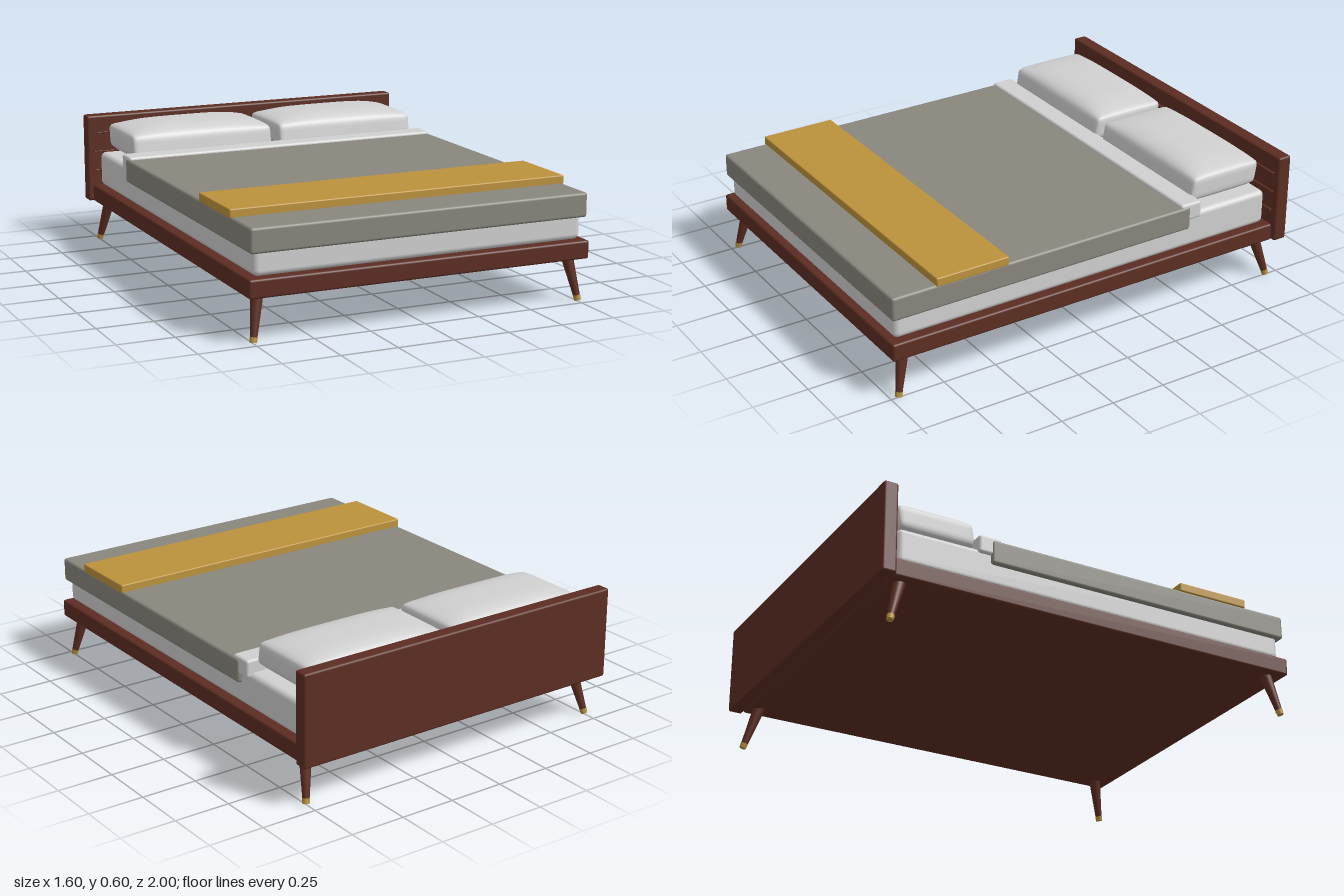
import * as THREE from 'three';
import { mergeVertices } from 'three/addons/utils/BufferGeometryUtils.js';
import { RoundedBoxGeometry } from 'three/addons/geometries/RoundedBoxGeometry.js';

const material = (name, color) => {
  const m = new THREE.MeshStandardMaterial({ color });
  m.name = name;
  return m;
};

// Rounded block given by its limits on each axis
function block(name, mat, [x0, x1], [y0, y1], [z0, z1], r) {
  const mesh = new THREE.Mesh(new RoundedBoxGeometry(x1 - x0, y1 - y0, z1 - z0, 3, r), mat);
  mesh.position.set((x0 + x1) / 2, (y0 + y1) / 2, (z0 + z1) / 2);
  mesh.name = name;
  return mesh;
}

// Soft cushion: rounded box that swells toward its middle and leans back
function pillowGeometry(w, h, d, r) {
  const geo = new THREE.BoxGeometry(2, 2, 2, 28, 10, 20);
  const p = geo.attributes.position;
  const half = new THREE.Vector3(w / 2, h / 2, d / 2);
  const inner = half.clone().subScalar(r);
  const v = new THREE.Vector3(), core = new THREE.Vector3();
  const crowd = (t) => Math.sign(t) * (1 - Math.pow(1 - Math.abs(t), 1.7));
  for (let i = 0; i < p.count; i++) {
    v.set(crowd(p.getX(i)), crowd(p.getY(i)), crowd(p.getZ(i))).multiply(half);
    core.copy(v).clamp(inner.clone().negate(), inner);
    v.sub(core).normalize().multiplyScalar(r).add(core);
    const u = v.x / half.x, s = v.z / half.z;
    v.y *= 1 + 0.65 * (1 - u ** 4) * (1 - s ** 4);
    v.z -= v.y * 0.17;
    p.setXYZ(i, v.x, v.y, v.z);
  }
  geo.deleteAttribute('normal');
  geo.deleteAttribute('uv');
  const smooth = mergeVertices(geo, 1e-5);
  smooth.computeVertexNormals();
  return smooth;
}

// Tapered cylinder between two points
function taper(name, mat, a, b, ra, rb) {
  const dir = new THREE.Vector3().subVectors(a, b);
  const mesh = new THREE.Mesh(new THREE.CylinderGeometry(ra, rb, dir.length(), 20), mat);
  mesh.position.addVectors(a, b).multiplyScalar(0.5);
  mesh.quaternion.setFromUnitVectors(new THREE.Vector3(0, 1, 0), dir.normalize());
  mesh.name = name;
  return mesh;
}

export function createModel() {
  const bed = new THREE.Group();
  bed.name = 'bed';
  const wood = material('dark wood', 0x5c2d22);
  const linen = material('white linen', 0xd0d0d0);
  const grey = material('grey blanket', 0x88867d);
  const gold = material('mustard throw', 0xbc923c);
  const brass = material('brass', 0xb8923f);

  // Frame and headboard
  bed.add(block('frame', wood, [-0.78, 0.78], [0.19, 0.27], [-0.935, 1], 0.01));
  bed.add(block('headboard', wood, [-0.8, 0.8], [0.19, 0.6], [-1, -0.935], 0.01));
  for (const y of [0.337, 0.428, 0.518]) {
    bed.add(block('headboardStrip', wood, [-0.77, 0.77], [y - 0.004, y + 0.004], [-0.94, -0.925], 0.002));
  }

  // Bedding
  bed.add(block('mattress', linen, [-0.75, 0.75], [0.272, 0.432], [-0.908, 0.975], 0.025));
  bed.add(block('blanket', grey, [-0.77, 0.77], [0.37, 0.477], [-0.482, 0.993], 0.012));
  bed.add(block('foldedSheet', linen, [-0.765, 0.765], [0.41, 0.49], [-0.543, -0.438], 0.012));
  bed.add(block('throw', gold, [-0.775, 0.775], [0.472, 0.512], [0.447, 0.79], 0.006));

  // Pillows
  const pillowShape = pillowGeometry(0.69, 0.104, 0.355, 0.022);
  for (const side of [-1, 1]) {
    const pillow = new THREE.Mesh(pillowShape, linen);
    pillow.position.set(side * 0.365, 0.513, -0.712);
    pillow.name = side > 0 ? 'leftPillow' : 'rightPillow';
    bed.add(pillow);
  }

  // Splayed legs with metal tips
  for (const side of [-1, 1]) {
    for (const [zTop, zFoot] of [[0.922, 0.966], [-0.882, -0.938]]) {
      const top = new THREE.Vector3(side * 0.715, 0.2, zTop);
      const foot = new THREE.Vector3(side * 0.751, 0.003, zFoot);
      const ankle = foot.clone().lerp(top, 0.11);
      const leg = new THREE.Group();
      leg.name = (zTop > 0 ? 'front' : 'back') + (side > 0 ? 'LeftLeg' : 'RightLeg');
      leg.add(taper('legShaft', wood, top, ankle, 0.027, 0.015));
      leg.add(taper('legTip', brass, ankle, foot, 0.0165, 0.0145));
      bed.add(leg);
    }
  }
  return bed;
}
